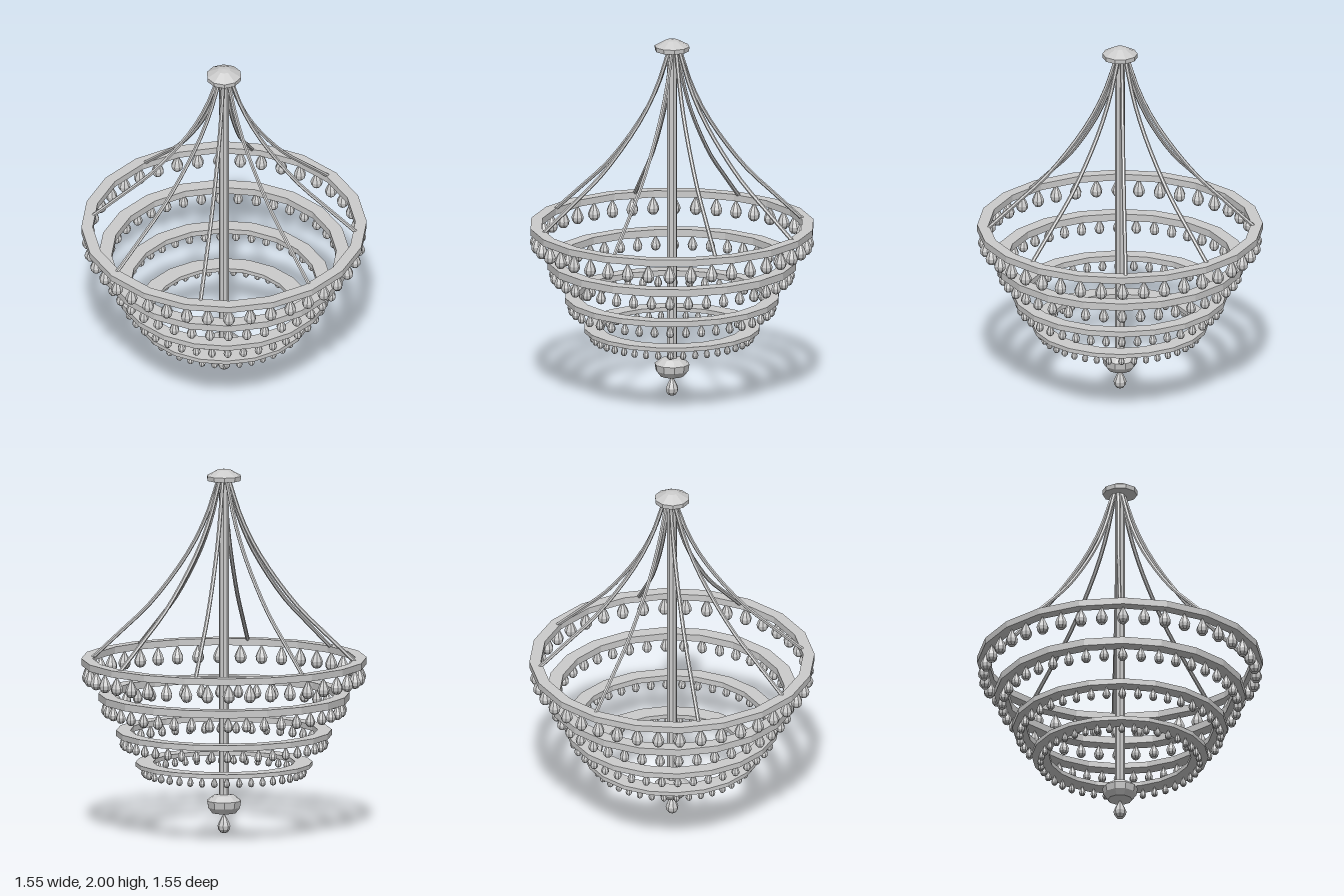
import * as THREE from 'three';

const material = new THREE.MeshStandardMaterial({ color: 0xcccccc, flatShading: true });

function addMesh(parent, name, geometry) {
  const mesh = new THREE.Mesh(geometry, material);
  mesh.name = name;
  parent.add(mesh);
  return mesh;
}

// Profile runs from the bottom up as [radius, y] pairs
function lathe(points, sides) {
  return new THREE.LatheGeometry(points.map(([r, y]) => new THREE.Vector2(r, y)), sides);
}

// Teardrop hanging down from its tip at y = 0
function dropGeometry(radius, height, sides = 8) {
  const profile = [[0, -1], [0.55, -0.95], [0.92, -0.8], [1, -0.62], [0.72, -0.4], [0.3, -0.16], [0, 0]];
  return lathe(profile.map(([r, y]) => [r * radius, y * height]), sides);
}

// One flat hoop with a row of hanging crystals
function createTier({ name, outer, inner, top, bottom, hang, dropRadius, dropHeight }) {
  const tier = new THREE.Group();
  tier.name = name;
  addMesh(tier, 'hoop', lathe(
    [[inner, bottom], [outer, bottom], [outer, top], [inner, top], [inner, bottom]], 20));

  const crystals = new THREE.Group();
  crystals.name = 'crystals';
  tier.add(crystals);
  const geometry = dropGeometry(dropRadius, dropHeight);
  const count = 40;
  for (let i = 0; i < count; i++) {
    const a = (i / count) * Math.PI * 2;
    const crystal = addMesh(crystals, 'crystal', geometry);
    crystal.position.set(Math.sin(a) * hang, bottom + 0.003, Math.cos(a) * hang);
    crystal.rotation.y = a;
  }
  return tier;
}

// Sagging arm from the canopy out to a point on the top hoop
function armGeometry(endX, endZ) {
  const sag = [[0.03, 1.94], [0.1, 1.73], [0.2, 1.535], [0.4, 1.265], [0.57, 1.1], [0.73, 0.95]];
  const offset = new THREE.Vector2(0.01, -0.01);
  const dx = (endX - offset.x) / 0.73;
  const dz = (endZ - offset.y) / 0.73;
  const path = new THREE.CatmullRomCurve3(sag.map(([r, y]) =>
    new THREE.Vector3(offset.x + dx * r, y, offset.y + dz * r)));
  return new THREE.TubeGeometry(path, 14, 0.011, 6, false);
}

export function createModel() {
  const model = new THREE.Group();
  model.name = 'chandelier';

  // Ceiling canopy, central rod and bottom finial
  addMesh(model, 'canopy', lathe(
    [[0, 1.937], [0.094, 1.937], [0.096, 1.962], [0.035, 1.995], [0, 2]], 10));
  const rod = addMesh(model, 'rod', new THREE.CylinderGeometry(0.027, 0.027, 1.76, 8));
  rod.position.y = 1.07;
  addMesh(model, 'bowl', lathe(
    [[0, 0.108], [0.066, 0.113], [0.09, 0.143], [0.096, 0.18], [0.06, 0.208], [0, 0.217]], 10));
  const pendant = addMesh(model, 'pendant', dropGeometry(0.035, 0.112));
  pendant.position.y = 0.112;

  // Hoops, from the widest down
  const tiers = [
    { name: 'topTier', outer: 0.775, inner: 0.713, top: 0.963, bottom: 0.926, hang: 0.738, dropRadius: 0.033, dropHeight: 0.107 },
    { name: 'upperTier', outer: 0.682, inner: 0.61, top: 0.772, bottom: 0.732, hang: 0.64, dropRadius: 0.027, dropHeight: 0.088 },
    { name: 'lowerTier', outer: 0.585, inner: 0.508, top: 0.568, bottom: 0.537, hang: 0.545, dropRadius: 0.022, dropHeight: 0.074 },
    { name: 'bottomTier', outer: 0.48, inner: 0.385, top: 0.393, bottom: 0.37, hang: 0.432, dropRadius: 0.018, dropHeight: 0.06 },
  ];
  for (const tier of tiers) model.add(createTier(tier));

  // Eight slightly uneven arms, listed by their outer ends (x, z)
  const arms = new THREE.Group();
  arms.name = 'arms';
  model.add(arms);
  const ends = [
    [0.025, -0.73], [0.56, -0.465], [0.735, -0.018], [0.53, 0.49],
    [0.025, 0.72], [-0.54, 0.48], [-0.73, -0.018], [-0.505, -0.515],
  ];
  for (const [x, z] of ends) addMesh(arms, 'arm', armGeometry(x, z));

  return model;
}
